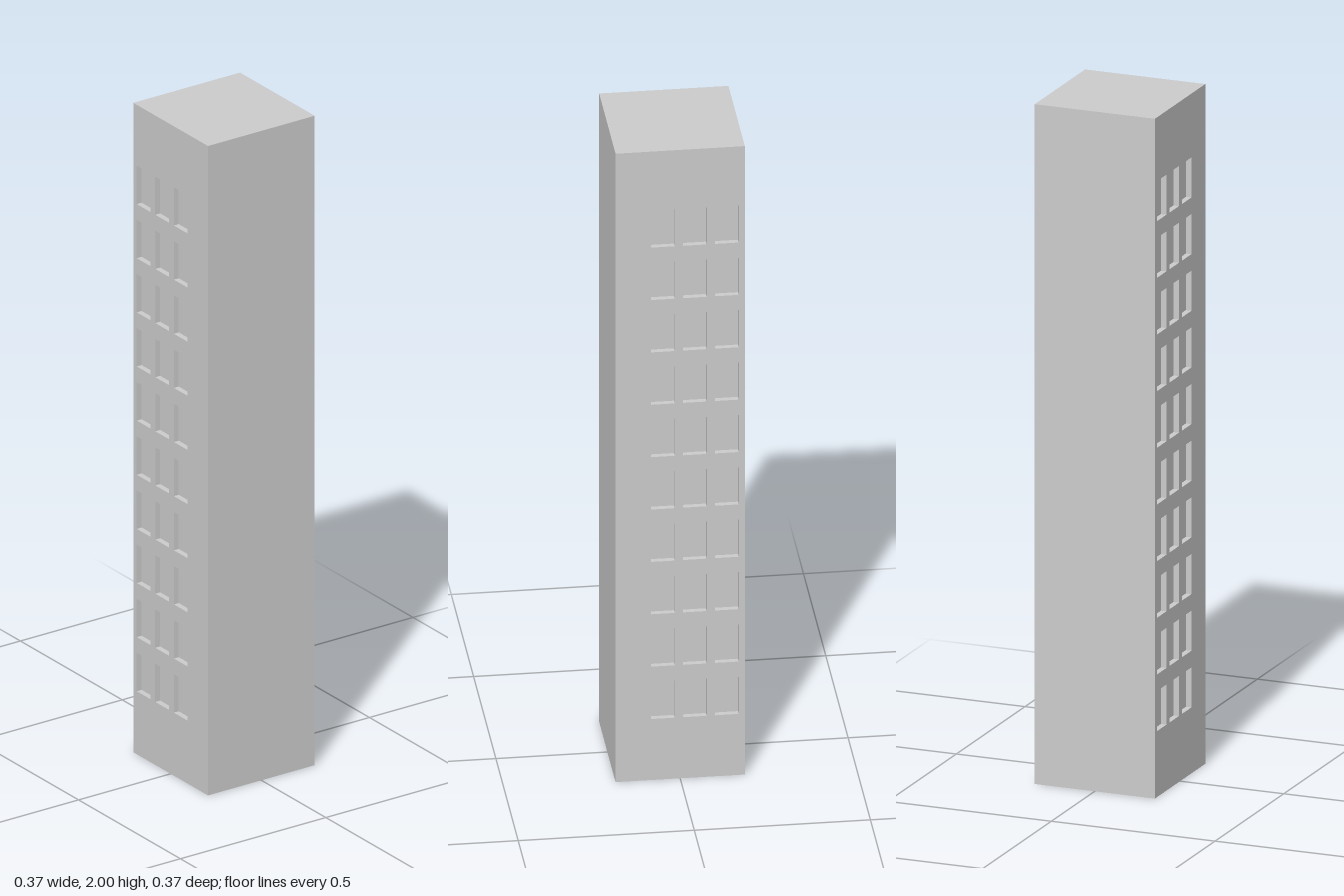
import * as THREE from 'three';

const HEIGHT = 2, WIDTH = 0.367, HALF = WIDTH / 2;
const WIN_W = 0.067, WIN_H = 0.118, DEPTH = 0.017;
const COLUMNS = [0.049, -0.042, -0.133]; // window centres along z
const ROWS = Array.from({ length: 10 }, (_, i) => 0.253 + i * 0.1667);

const material = new THREE.MeshStandardMaterial({ color: 0xcccccc });

function mesh(name, geometry) {
  const m = new THREE.Mesh(geometry, material);
  m.name = name;
  return m;
}

// Rectangle outline centred on (x, y)
function rectangle(PathType, x, y, w, h) {
  return new PathType([[-1, -1], [1, -1], [1, 1], [-1, 1]]
    .map(([a, b]) => new THREE.Vector2(x + a * w / 2, y + b * h / 2)));
}

// Inside-out box without its +x face: window pane and reveals
function nicheGeometry() {
  const g = new THREE.BoxGeometry(DEPTH, WIN_H, WIN_W);
  g.setIndex(Array.from(g.index.array).slice(6).reverse());
  g.computeVertexNormals();
  return g;
}

// Side wall pierced by the window grid, each opening backed by a shallow niche
function sideWall(name, side) {
  const group = new THREE.Group();
  group.name = name;
  const shape = rectangle(THREE.Shape, 0, HEIGHT / 2, WIDTH, HEIGHT);
  const niche = nicheGeometry();
  for (const y of ROWS) {
    for (const z of COLUMNS) {
      shape.holes.push(rectangle(THREE.Path, -side * z, y, WIN_W, WIN_H));
      const win = mesh('window', niche);
      win.position.set(side * (HALF - DEPTH / 2), y, z);
      if (side < 0) win.rotation.y = Math.PI;
      group.add(win);
    }
  }
  const wall = mesh('wallFace', new THREE.ShapeGeometry(shape));
  wall.rotation.y = side * Math.PI / 2;
  wall.position.x = side * HALF;
  group.add(wall);
  return group;
}

export function createModel() {
  const tower = new THREE.Group();
  tower.name = 'tower';

  // Roof, base, front and back; the x faces are left to the side walls
  const shell = new THREE.BoxGeometry(WIDTH, HEIGHT, WIDTH);
  shell.setIndex(Array.from(shell.index.array).slice(12));
  shell.clearGroups();
  shell.translate(0, HEIGHT / 2, 0);
  tower.add(mesh('towerShell', shell));

  tower.add(sideWall('leftWall', 1), sideWall('rightWall', -1));
  // Niche groups draw with a single material
  tower.traverse((o) => o.isMesh && o.geometry.clearGroups());
  return tower;
}
